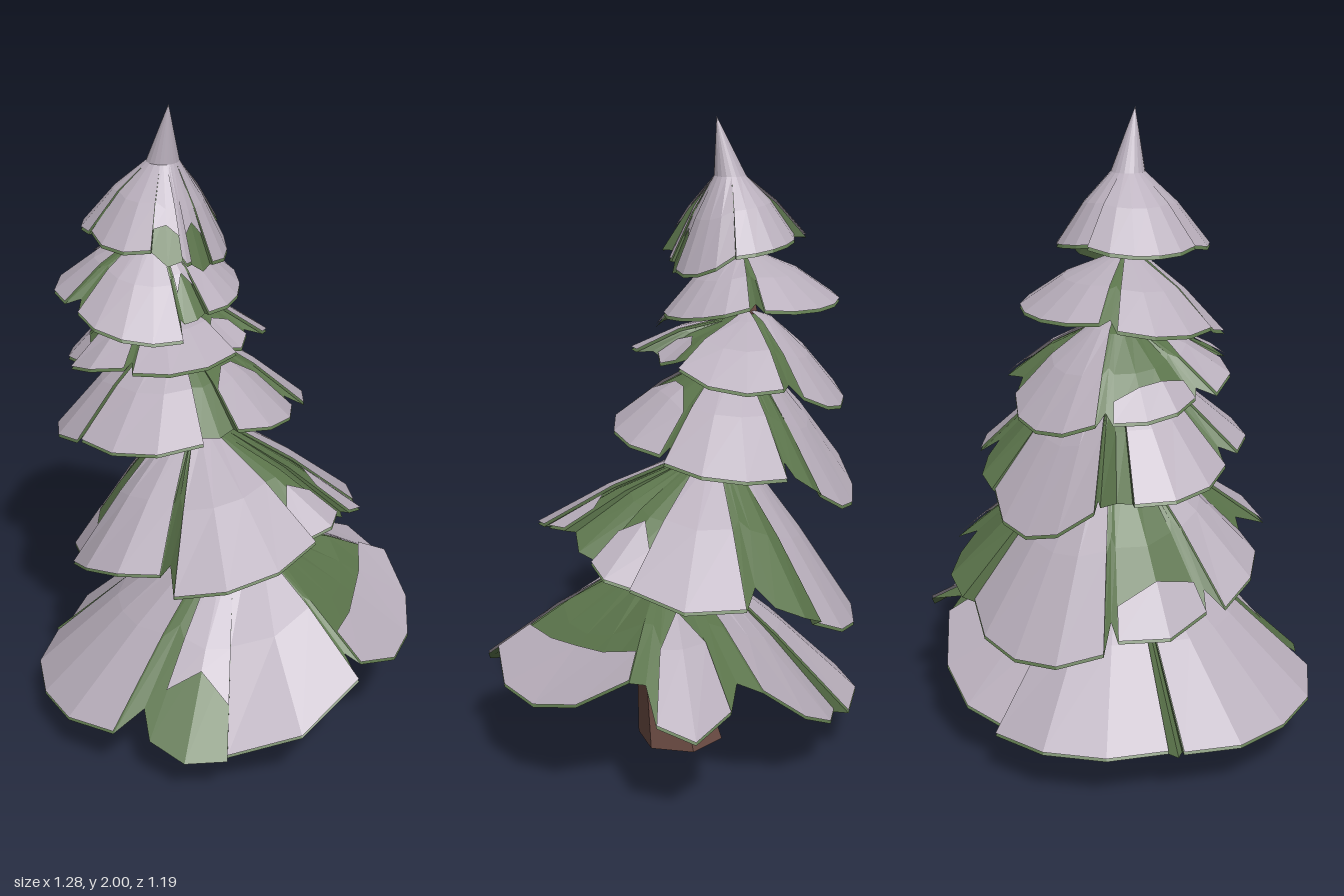
import * as THREE from 'three';

const { lerp, degToRad } = THREE.MathUtils;
const paint = (name, color) =>
  Object.assign(new THREE.MeshStandardMaterial({ color }), { name, side: THREE.DoubleSide });

// Flat-faced mesh from a list of triangle corners
function facets(name, corners, material) {
  const g = new THREE.BufferGeometry();
  g.setAttribute('position', new THREE.Float32BufferAttribute(corners.flatMap((p) => p.toArray()), 3));
  g.computeVertexNormals();
  const mesh = new THREE.Mesh(g, material);
  mesh.name = name;
  return mesh;
}

// Columns of one bough: [from angle, to angle, radius, y start, y middle, y end, snow line].
// Snow line: 0 all snow, 1 all green, between: snow below it, negative: snow above it.
function boughColumns([a0, a1, r, y0, ym, y1, s], centre) {
  const n = Math.max(2, Math.round((a1 - a0) / 18));
  const line = Math.abs(s);
  return Array.from({ length: n + 1 }, (_, i) => {
    const t = i / n;
    const a = degToRad(lerp(a0, a1, t));
    const side = (2 * t - 1) ** 2;
    const rad = r * (1 - 0.05 * side * side);
    const y = y0 * (1 - t) * (1 - 2 * t) + 4 * ym * t * (1 - t) + y1 * t * (2 * t - 1);
    return {
      a,
      k: line % 1 === 0 ? line : lerp(line, 1, 0.4 * side),
      p: new THREE.Vector3(centre.x + rad * Math.cos(a), y, centre.z + rad * Math.sin(a)),
    };
  });
}

// One tier: a closed green skirt of boughs and notches with snow lying just above it
function makeTier(name, tipAt, neckAt, neckR, boughs, mats) {
  const tip = new THREE.Vector3(...tipAt);
  const neck = new THREE.Vector3(...neckAt);
  const lift = new THREE.Vector3(0, 0.01, 0);
  const green = [], snow = [];

  const inner = (c) => new THREE.Vector3(
    neck.x + neckR * Math.cos(c.a), neck.y, neck.z + neckR * Math.sin(c.a));
  const along = (c, f) => {
    const v = inner(c).lerp(c.p, f);
    v.y += 0.016 * (1 - Math.abs(2 * f - 1));
    return v;
  };
  const face = (out, ...corners) => {
    if (new THREE.Triangle(...corners).getArea() < 1e-6) return;
    out.push(...corners.map((v) => (out === snow ? v.clone().add(lift) : v)));
  };
  // Bands between two columns, with the row positions of each column
  const bands = (out, c, d, rowsC, rowsD) => {
    for (let i = 0; i + 1 < rowsC.length; i++) {
      const c0 = along(c, rowsC[i]), c1 = along(c, rowsC[i + 1]);
      const d0 = along(d, rowsD[i]), d1 = along(d, rowsD[i + 1]);
      face(out, c0, d1, c1);
      face(out, c0, d0, d1);
    }
  };
  const skin = (c, d) => {
    face(green, tip, inner(d), inner(c));
    bands(green, c, d, [0, 0.5, 1], [0, 0.5, 1]);
  };
  const cover = (c, d, s) => {
    if (s <= 0) face(snow, tip, inner(d), inner(c));
    const rows = s < 0
      ? ({ k }) => [0, Math.min(k, 0.5), k]
      : ({ k }) => [k, Math.max(k, 0.5), 1];
    bands(snow, c, d, rows(c), rows(d));
  };

  const columns = boughs.map((b) => boughColumns(b, neck));
  columns.forEach((cols, i) => {
    for (let j = 0; j + 1 < cols.length; j++) {
      skin(cols[j], cols[j + 1]);
      if (boughs[i][6] < 1) cover(cols[j], cols[j + 1], boughs[i][6]);
    }
    // Notch between this bough and the next, shallower when they are close
    const c = cols[cols.length - 1];
    const first = columns[(i + 1) % columns.length][0];
    const d = { a: first.a + (i + 1 < columns.length ? 0 : 2 * Math.PI), p: first.p };
    const m = { a: (c.a + d.a) / 2, p: c.p.clone().lerp(d.p, 0.5) };
    m.p.lerp(inner(m), 0.15 * Math.min(1, (d.a - c.a) / 0.07));
    skin(c, m);
    skin(m, d);
  });

  const tier = new THREE.Group();
  tier.name = name;
  tier.add(facets('needles', green, mats.green), facets('snow', snow, mats.snow));
  return tier;
}

// Six-sided tapering trunk bent along a curve
function makeTrunk(material) {
  const path = new THREE.CatmullRomCurve3([
    [0, 0, -0.02], [0.01, 0.4, 0.05], [0, 0.7, 0], [-0.02, 1, -0.13], [-0.04, 1.4, -0.25], [-0.08, 1.75, -0.22],
  ].map((p) => new THREE.Vector3(...p)));
  const radii = [0.14, 0.08, 0.062, 0.05, 0.035, 0.015];
  const g = new THREE.CylinderGeometry(1, 1, 1, 6, 5);
  const pos = g.attributes.position;
  for (let i = 0; i < pos.count; i++) {
    const k = Math.round((pos.getY(i) + 0.5) * 5);
    const c = path.getPoint(k / 5);
    pos.setXYZ(i, c.x + pos.getZ(i) * radii[k], c.y, c.z - pos.getX(i) * radii[k]);
  }
  const flat = g.toNonIndexed();
  flat.computeVertexNormals();
  const trunk = new THREE.Mesh(flat, material);
  trunk.name = 'trunk';
  return trunk;
}

export function createModel() {
  const mats = { snow: paint('snow', 0xb8aebb), green: paint('pine green', 0x5a734a) };
  const tree = new THREE.Group();
  tree.name = 'snowyPine';
  tree.add(makeTrunk(paint('bark', 0x6e4d45)));

  const tier = (...args) => tree.add(makeTier(...args, mats));

  tier('lowestTier', [0, 0.63, 0.02], [0, 0.6, 0.03], 0.12, [
    [0, 20, 0.66, 0.35, 0.28, 0.32, 0.25],
    [29, 95, 0.57, 0.42, 0.29, 0.36, 0.6],
    [99, 143, 0.6, 0.33, 0.22, 0.15, 0],
    [143, 167, 0.62, 0.15, 0.15, 0.18, -0.6],
    [178, 243, 0.65, 0.18, 0.14, 0.14, 0],
    [243, 247, 0.63, 0.14, 0.14, 0.14, 1],
    [247, 300, 0.63, 0.14, 0.14, 0.14, 0],
    [300, 346, 0.58, 0.14, 0.2, 0.36, 0],
  ]);
  tier('secondTier', [0, 0.97, -0.13], [0, 0.94, -0.13], 0.1, [
    [8, 48, 0.54, 0.61, 0.61, 0.65, 0],
    [48, 66, 0.53, 0.65, 0.67, 0.7, 0.55],
    [66, 82, 0.5, 0.7, 0.72, 0.76, 1],
    [82, 98, 0.54, 0.77, 0.76, 0.74, 0.6],
    [98, 147, 0.57, 0.74, 0.68, 0.63, 0],
    [155, 208, 0.45, 0.63, 0.6, 0.53, 0],
    [214, 258, 0.41, 0.52, 0.48, 0.48, 0.7],
    [264, 335, 0.46, 0.46, 0.41, 0.5, 0],
    [335, 356, 0.5, 0.52, 0.56, 0.6, 1],
  ]);
  tier('thirdTier', [-0.02, 1.27, -0.2], [-0.02, 1.24, -0.2], 0.09, [
    [-4, 50, 0.43, 0.96, 0.97, 1.0, 0],
    [56, 108, 0.39, 1.01, 1.03, 1.06, 0.3],
    [108, 126, 0.36, 1.06, 1.05, 1.05, 1],
    [126, 188, 0.4, 1.04, 1.01, 1.0, 0],
    [196, 252, 0.38, 0.97, 0.93, 0.92, 0],
    [252, 268, 0.35, 0.92, 0.93, 0.91, 1],
    [270, 334, 0.39, 0.9, 0.8, 0.88, 0],
    [334, 350, 0.4, 0.89, 0.92, 0.96, 1],
  ]);
  tier('fourthTier', [-0.03, 1.4, -0.25], [-0.03, 1.37, -0.25], 0.08, [
    [0, 60, 0.34, 1.21, 1.21, 1.26, 0],
    [70, 96, 0.3, 1.27, 1.25, 1.27, 0.5],
    [98, 152, 0.37, 1.28, 1.26, 1.25, 0],
    [158, 196, 0.34, 1.25, 1.23, 1.2, 0.2],
    [204, 262, 0.29, 1.19, 1.16, 1.15, 0.65],
    [272, 344, 0.31, 1.15, 1.11, 1.17, 0],
  ]);
  tier('fifthTier', [-0.06, 1.61, -0.24], [-0.06, 1.57, -0.24], 0.06, [
    [14, 98, 0.26, 1.44, 1.4, 1.39, 0],
    [98, 116, 0.24, 1.39, 1.38, 1.37, -0.5],
    [121, 196, 0.29, 1.33, 1.34, 1.38, 0],
    [206, 266, 0.31, 1.4, 1.4, 1.42, 0],
    [276, 366, 0.31, 1.44, 1.43, 1.44, 0],
  ]);
  tier('topTier', [-0.075, 1.99, -0.16], [-0.06, 1.81, -0.2], 0.05, [
    [14, 86, 0.19, 1.59, 1.53, 1.53, 0],
    [86, 112, 0.18, 1.53, 1.52, 1.55, -0.6],
    [112, 124, 0.19, 1.55, 1.55, 1.58, 0],
    [124, 148, 0.23, 1.58, 1.57, 1.61, -0.65],
    [148, 208, 0.24, 1.61, 1.6, 1.62, 0],
    [208, 290, 0.25, 1.62, 1.61, 1.63, 0],
    [290, 374, 0.21, 1.63, 1.61, 1.59, 0],
  ]);
  return tree;
}
